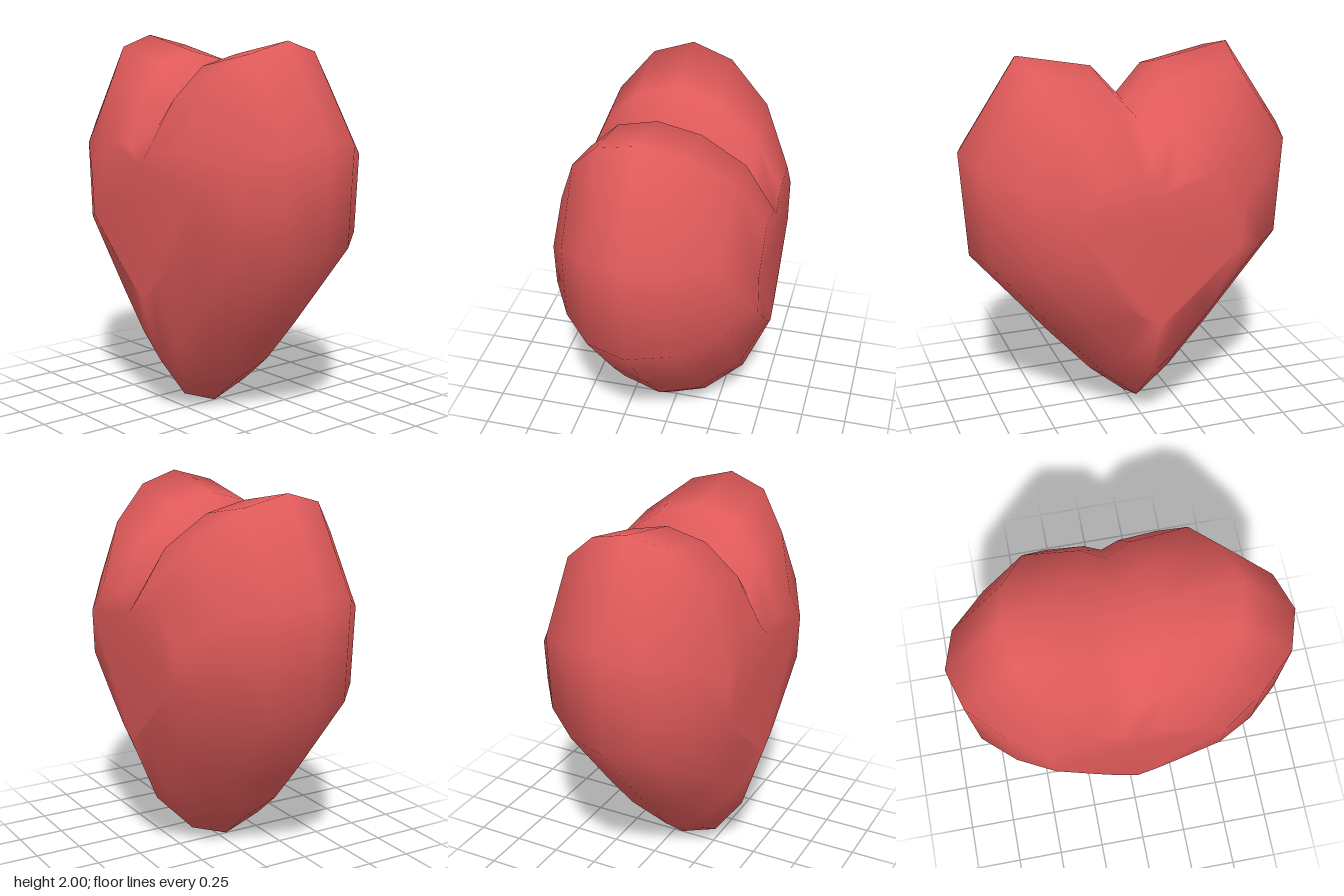
import * as THREE from 'three';

// Half of the heart outline (+x side), from the bottom tip up to the notch
const HALF = [[0, 0], [0.2, 0.17], [0.44, 0.44], [0.865, 0.95], [0.9, 1.52], [0.58, 2], [0.18, 1.92], [0, 1.72]];

// Cross-sections from back to front: z, x scale, y scale, fixed height of the scaling
const RINGS = [
  [-0.535, 0.51, 0.408, 1.11],
  [-0.39, 0.725, 0.728, 1.12],
  [-0.17, 0.93, 0.93, 1.14],
  [0.05, 1, 1, 1],
  [0.26, 0.93, 0.93, 1.14],
  [0.42, 0.735, 0.73, 1.11],
  [0.535, 0.51, 0.408, 1.11],
];

function heartGeometry() {
  // Closed outline, counter-clockwise seen from the front
  const mirrored = HALF.slice(1, -1).reverse().map(([x, y]) => [-x, y]);
  const outline = [...HALF, ...mirrored];
  const n = outline.length;
  const positions = [];
  const index = [];

  for (const [z, sx, sy, c] of RINGS) {
    for (const [x, y] of outline) positions.push(x * sx, c + (y - c) * sy, z);
  }

  // Rounded wall between neighbouring rings
  for (let r = 0; r < RINGS.length - 1; r++) {
    for (let i = 0; i < n; i++) {
      const j = (i + 1) % n;
      const a = r * n + i, b = r * n + j;
      index.push(a, b, b + n, a, b + n, a + n);
    }
  }

  // Flat back and front faces
  const caps = THREE.ShapeUtils.triangulateShape(outline.map(([x, y]) => new THREE.Vector2(x, y)), []);
  const front = (RINGS.length - 1) * n;
  for (const [a, b, c] of caps) {
    index.push(c, b, a);
    index.push(front + a, front + b, front + c);
  }

  const geometry = new THREE.BufferGeometry();
  geometry.setAttribute('position', new THREE.Float32BufferAttribute(positions, 3));
  geometry.setIndex(index);
  geometry.computeVertexNormals();
  return geometry;
}

export function createModel() {
  const group = new THREE.Group();
  group.name = 'heartModel';
  const heart = new THREE.Mesh(heartGeometry(), new THREE.MeshStandardMaterial({ color: 0xe05a5a }));
  heart.name = 'heart';
  group.add(heart);
  return group;
}
